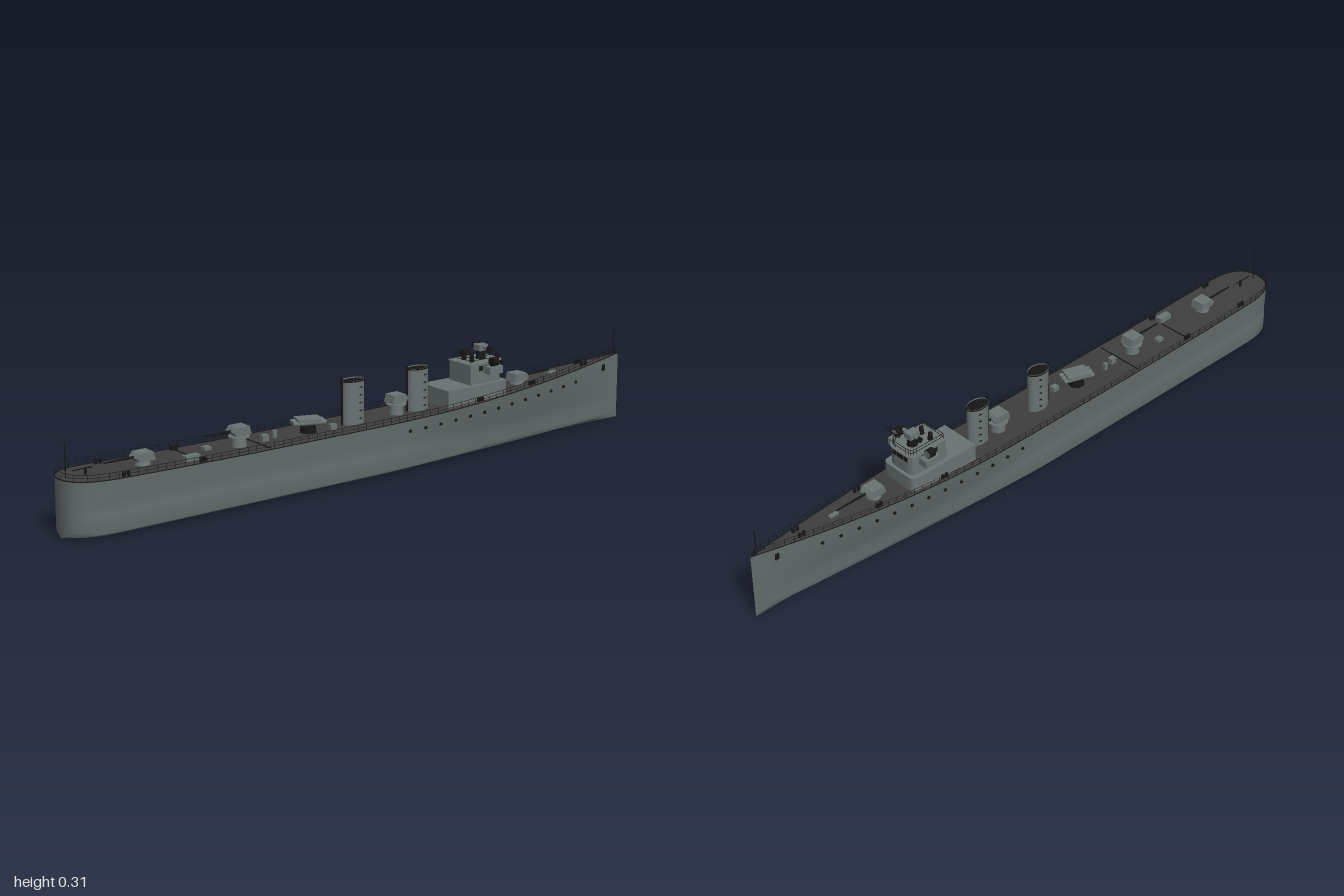
import * as THREE from 'three';
import { mergeGeometries, toCreasedNormals } from 'three/addons/utils/BufferGeometryUtils.js';

const mat = (name, color, side = THREE.FrontSide) => {
  const m = new THREE.MeshStandardMaterial({ color, side });
  m.name = name;
  return m;
};
const V = (x, y, z) => new THREE.Vector3(x, y, z);

// Hull lines: sheer height and half breadth along the length
const sheer = x => 0.153 + (x > 0 ? 0.053 * x ** 1.8 : x < -0.3 ? 0.01 * ((-x - 0.3) / 0.7) ** 2 : 0);
const sternRound = x => x < -0.84 ? Math.max(0, 1 - ((-0.84 - x) / 0.16) ** 3) ** 0.42 : 1;
const half = x => 0.086 * sternRound(x) * (x > 0.2 ? 1 - ((x - 0.2) / 0.8) ** 1.75 : 1);
const lowHalf = x => {
  const t = Math.max(0, x / 1);
  return 0.087 * sternRound(x) * Math.max(0, 1 - t ** 1.45) * (1 - 0.12 * t);
};

export function createModel() {
  const hullGrey = mat('hull grey', 0x626a6a);
  const lightGrey = mat('superstructure grey', 0x6a7272, THREE.DoubleSide);
  const deckGrey = mat('deck grey', 0x3e3e3e);
  const black = mat('fittings black', 0x161616);
  const ship = new THREE.Group();
  ship.name = 'warship';
  ship.position.z = -0.004;

  const add = (name, geo, material, x = 0, y = 0, z = 0, parent = ship) => {
    const m = new THREE.Mesh(geo, material);
    m.name = name;
    m.position.set(x, y, z);
    parent.add(m);
    return m;
  };
  const box = (w, h, d) => new THREE.BoxGeometry(w, h, d);
  const cyl = (r1, r2, h, n = 20, open = false) => new THREE.CylinderGeometry(r1, r2, h, n, 1, open);
  const rod = (a, b, r = 0.0008) => {
    const d = b.clone().sub(a), g = cyl(r, r, d.length(), 5);
    g.applyQuaternion(new THREE.Quaternion().setFromUnitVectors(V(0, 1, 0), d.normalize()));
    return g.translate((a.x + b.x) / 2, (a.y + b.y) / 2, (a.z + b.z) / 2);
  };

  // Surface lofted through equal rows of points
  const loft = (rows, flip = false) => {
    const n = rows[0].length, index = [];
    for (let i = 0; i < rows.length - 1; i++) for (let j = 0; j < n - 1; j++) {
      const a = i * n + j, b = a + n, c = b + 1, d = a + 1;
      index.push(...(flip ? [a, c, b, a, d, c] : [a, b, c, a, c, d]));
    }
    const g = new THREE.BufferGeometry();
    g.setAttribute('position', new THREE.Float32BufferAttribute(rows.flat().flatMap(p => p.toArray()), 3));
    g.setIndex(index);
    g.computeVertexNormals();
    return g;
  };

  // Hull stations, close together around the stern
  const stations = [];
  for (let i = 0; i < 16; i++) stations.push(-0.84 - 0.16 * Math.cos(i / 16 * Math.PI / 2));
  for (let i = 0; i <= 50; i++) stations.push(-0.84 + 1.84 * i / 50);
  const section = x => {
    const w = half(x), b = lowHalf(x), top = sheer(x);
    const side = [[b * 0.93, 0.011], [b * 0.985, 0.015], [b, 0.024], [b, 0.058]];
    const mix = t => b * 0.955 + (w - b * 0.955) * t;
    side.push([b * 0.985 + (w - b) * 0.1, 0.068], [mix(0.25), 0.078], [mix(0.5), 0.105], [mix(0.78), 0.13], [w, top]);
    return [...side.slice().reverse().map(([z, y]) => V(x, y, -z)), V(x, 0, 0), ...side.map(([z, y]) => V(x, y, z))];
  };
  add('hull', toCreasedNormals(loft(stations.map(section)), 0.6), hullGrey);
  add('deck', loft(stations.map(x => [-1, 0, 1].map(s => V(x, sheer(x), s * half(x)))), true), deckGrey);

  // Deck edge strip and guard rails
  const rails = [];
  for (const s of [-1, 1]) {
    const line = (h, r, from) => new THREE.TubeGeometry(new THREE.CatmullRomCurve3(
      stations.filter(x => x >= from).map(x => V(x, sheer(x) + h, s * half(x) * 0.985))), 130, r, 4);
    rails.push(line(0, 0.0018, -1), line(0.01, 0.0006, -1), line(0.019, 0.0007, -1));
    for (let x = -0.985; x < 0.99; x += 0.029) {
      const z = s * half(x) * 0.985;
      rails.push(rod(V(x, sheer(x), z), V(x, sheer(x) + 0.019, z), 0.0007));
    }
  }
  rails.push(rod(V(-0.98, 0.16, 0), V(-0.98, 0.258, 0), 0.0016), rod(V(0.98, 0.2, 0), V(0.98, 0.283, 0), 0.0016));
  add('guard rails and flagstaffs', mergeGeometries(rails), black);

  // Portholes, anchors and bollards on both sides
  for (const s of [-1, 1]) {
    for (let i = 0; i < 13; i++) {
      const x = 0.1 + i * 0.0575, y = 0.123 + 0.028 * (i / 12) ** 1.6;
      const b = lowHalf(x) * 0.955, w = half(x), top = sheer(x);
      const z = b + (w - b) * (y < 0.13 ? 0.5 + (y - 0.105) / 0.025 * 0.28 : 0.78 + (y - 0.13) / (top - 0.13) * 0.22);
      add('porthole', cyl(0.005, 0.005, 0.007, 10).rotateX(Math.PI / 2), black, x, y, s * z);
    }
    add('anchor', box(0.012, 0.02, 0.008), black, 0.925, 0.172, s * (half(0.925) * 0.86));
    for (const x of [-0.84, -0.6, 0.38, 0.6, 0.84]) for (const d of [-0.007, 0.007])
      add('bollard', cyl(0.005, 0.005, 0.012, 10), black, x + d, sheer(x) + 0.006, s * (half(x) - 0.014));
  }

  // Deckhouse and bridge
  const plan = (x0, x1, w, r) => {
    const p = new THREE.Shape();
    p.moveTo(x0, -w); p.lineTo(x1 - r, -w); p.quadraticCurveTo(x1, -w, x1, -w + r);
    p.lineTo(x1, w - r); p.quadraticCurveTo(x1, w, x1 - r, w); p.lineTo(x0, w);
    return p;
  };
  const block = (x0, x1, w, r, h) => toCreasedNormals(new THREE.ExtrudeGeometry(plan(x0, x1, w, r),
    { depth: h, bevelEnabled: false, curveSegments: 6 }).rotateX(-Math.PI / 2), 0.6);
  add('deckhouse', block(0.26, 0.49, 0.063, 0.02, 0.06), lightGrey, 0, 0.15, 0);
  add('bridge', block(0.355, 0.48, 0.048, 0.025, 0.062), lightGrey, 0, 0.208, 0);
  add('bridge roof', block(0.35, 0.485, 0.05, 0.026, 0.003), lightGrey, 0, 0.269, 0);
  for (let i = -1.5; i <= 1.5; i++) add('front window', box(0.004, 0.015, 0.013), black, 0.479, 0.256, i * 0.0155);
  for (const s of [-1, 1]) {
    for (let i = 0; i < 3; i++) add('side window', box(0.016, 0.015, 0.004), black, 0.395 + i * 0.022, 0.256, s * 0.047);
    add('bridge wing', box(0.05, 0.022, 0.032), lightGrey, 0.43, 0.251, s * 0.062);
    add('wing mount', cyl(0.004, 0.006, 0.014, 10), black, 0.43, 0.265, s * 0.066);
    add('searchlight', cyl(0.013, 0.013, 0.022, 18).rotateZ(Math.PI / 2), black, 0.43, 0.275, s * 0.066);
    add('searchlight lens', cyl(0.011, 0.011, 0.003, 18).rotateZ(Math.PI / 2), lightGrey, 0.441, 0.275, s * 0.066);
  }
  add('light gun', mergeGeometries([rod(V(0.445, 0.277, 0.04), V(0.445, 0.277, 0.1), 0.002),
    rod(V(0.435, 0.277, 0.05), V(0.435, 0.277, 0.095), 0.0015)]), black);

  // Bridge rail, rangefinder and its mount
  const topRail = [];
  const corners = plan(0.36, 0.478, 0.042, 0.02).getPoints(4);
  corners.forEach((p, i) => {
    const q = corners[(i + 1) % corners.length];
    topRail.push(rod(V(p.x, 0.27, p.y), V(p.x, 0.291, p.y)));
    for (const y of [0.281, 0.291]) if (p.distanceTo(q) > 1e-4) topRail.push(rod(V(p.x, y, p.y), V(q.x, y, q.y)));
  });
  add('bridge rail', mergeGeometries(topRail), black);
  add('rangefinder mount', cyl(0.011, 0.016, 0.028, 14), black, 0.435, 0.285, 0);
  add('rangefinder housing', box(0.034, 0.018, 0.026), lightGrey, 0.435, 0.306, 0);
  add('rangefinder tube', cyl(0.0055, 0.0055, 0.076, 12).rotateX(Math.PI / 2), lightGrey, 0.438, 0.307, 0);
  for (const s of [-1, 1]) add('rangefinder end', cyl(0.008, 0.008, 0.008, 12).rotateX(Math.PI / 2), black, 0.438, 0.307, s * 0.035);
  add('bridge instrument', cyl(0.006, 0.008, 0.022, 10), black, 0.385, 0.283, 0.018);
  add('bridge instrument', cyl(0.006, 0.008, 0.022, 10), black, 0.385, 0.283, -0.018);

  // Funnels with caps, steam pipes and rungs
  for (const x of [-0.042, 0.193]) {
    const f = new THREE.Group();
    f.name = 'funnel';
    f.position.set(x, 0.15, 0);
    ship.add(f);
    add('funnel casing', cyl(1, 1, 0.132, 32, true).scale(0.036, 1, 0.023), lightGrey, 0, 0.066, 0, f);
    add('funnel opening', cyl(1, 1, 0.002, 32).scale(0.035, 1, 0.022), black, 0, 0.128, 0, f);
    add('funnel cap', cyl(1, 1, 0.004, 32, true).scale(0.038, 1, 0.025), black, 0, 0.13, 0, f);
    add('steam pipe', cyl(0.0035, 0.0035, 0.14, 8), black, -0.039, 0.07, 0, f);
    for (let i = 0; i < 5; i++) for (const s of [-1, 1])
      add('rung', box(0.008, 0.003, 0.004), black, 0.01, 0.02 + i * 0.023, s * 0.0225, f);
  }

  // Deck guns: x, height of mount, heading along x, barrel length
  const shield = new THREE.Shape([[-0.028, 0], [0.022, 0], [0.03, 0.011], [0.02, 0.024], [-0.022, 0.024]].map(p => new THREE.Vector2(...p)));
  for (const [x, h, dir, len] of [[-0.745, 0.012, -1, 0.1], [-0.435, 0.034, -1, 0.09], [0.115, 0.036, 1, 0.05], [0.58, 0.01, 1, 0.11]]) {
    const g = new THREE.Group();
    g.name = 'deck gun';
    g.position.set(x, sheer(x), 0);
    g.rotation.y = dir < 0 ? Math.PI : 0;
    ship.add(g);
    add('gun pedestal', cyl(0.018, 0.022, h, 18), lightGrey, 0, h / 2, 0, g);
    if (h > 0.02) add('gun platform', cyl(0.03, 0.03, 0.004, 24), lightGrey, 0, h - 0.006, 0, g);
    add('gun shield', new THREE.ExtrudeGeometry(shield, { depth: 0.042, bevelEnabled: false }), lightGrey, 0, h, -0.021, g);
    add('gun barrel', cyl(0.0022, 0.0035, len, 10).rotateZ(-Math.PI / 2), black, 0.02 + len / 2, h + 0.012, 0, g);
  }

  // Torpedo mount, trained off the centreline
  const torpedo = new THREE.Group();
  torpedo.name = 'torpedo mount';
  torpedo.position.set(-0.2, 0.153, 0);
  torpedo.rotation.y = -0.35;
  ship.add(torpedo);
  add('torpedo pedestal', cyl(0.02, 0.024, 0.025, 18), black, 0, 0.0125, 0, torpedo);
  add('torpedo platform', box(0.07, 0.008, 0.05), lightGrey, 0, 0.038, 0, torpedo);
  for (const z of [-0.016, 0, 0.016])
    add('torpedo tube', cyl(0.007, 0.007, 0.095, 12).rotateZ(Math.PI / 2), lightGrey, 0, 0.03, z, torpedo);

  // Hatches, lockers and small deck gear
  for (const [x, z, w, h, d] of [[-0.62, 0.045, 0.045, 0.016, 0.022], [-0.35, 0, 0.02, 0.018, 0.016], [-0.31, -0.01, 0.012, 0.022, 0.01],
    [-0.53, -0.02, 0.022, 0.01, 0.018], [-0.13, 0.02, 0.02, 0.016, 0.016], [0.72, 0, 0.03, 0.008, 0.01]])
    add('deck locker', box(w, h, d), lightGrey, x, sheer(x) + h / 2, z);
  add('stern derrick', rod(V(-0.96, 0.178, 0), V(-0.9, 0.178, 0), 0.0018), black);
  add('derrick post', cyl(0.003, 0.004, 0.02, 8), black, -0.92, 0.17, 0);
  for (const x of [-0.6, -0.38]) add('deck seam', box(0.003, 0.003, 0.15), black, x, sheer(x) + 0.0005, 0);
  return ship;
}
